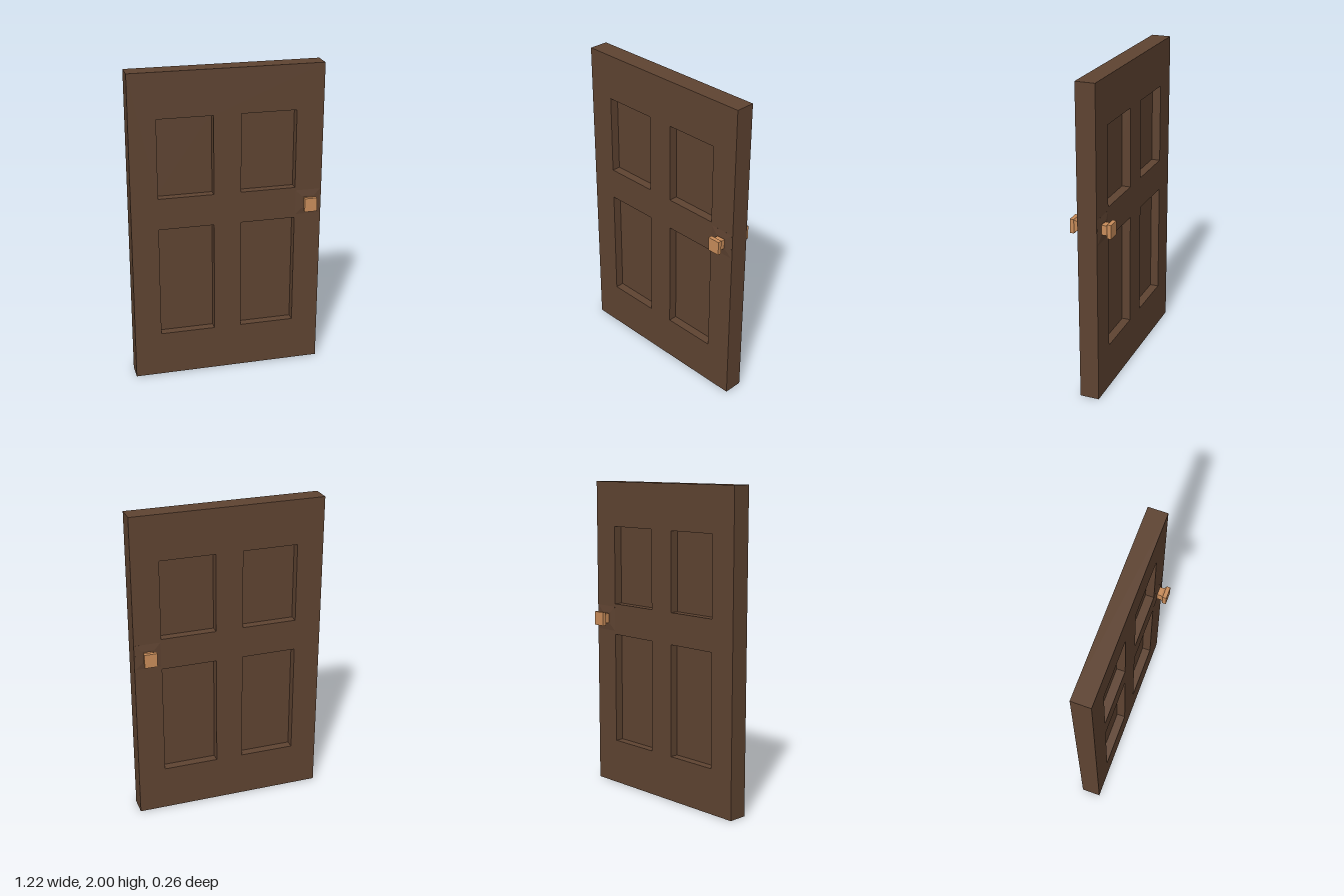
import * as THREE from 'three';

const wood = new THREE.MeshStandardMaterial({ color: 0x5e4331, flatShading: true });
const brass = new THREE.MeshStandardMaterial({ color: 0xc88c5a, flatShading: true });

const WIDTH = 1.215, HEIGHT = 2, THICK = 0.122, KNOB_X = 0.52, KNOB_Y = 1.112;

function rectPath(path, x0, y0, x1, y1) {
  path.moveTo(x0, y0);
  path.lineTo(x1, y0);
  path.lineTo(x1, y1);
  path.lineTo(x0, y1);
  path.closePath();
  return path;
}

// Square-section turning along +z; profile is [half width, z] pairs
function squareTurning(profile) {
  const points = profile.map(([r, z]) => new THREE.Vector2(r * Math.SQRT2, z));
  return new THREE.LatheGeometry(points, 4, Math.PI / 4).rotateX(Math.PI / 2);
}

function addMesh(parent, name, geometry, material) {
  const mesh = new THREE.Mesh(geometry, material);
  mesh.name = name;
  parent.add(mesh);
  return mesh;
}

export function createModel() {
  const model = new THREE.Group();
  model.name = 'door';

  // The whole door hangs very slightly turned
  const leaf = new THREE.Group();
  leaf.name = 'doorLeaf';
  leaf.rotation.y = -0.005;
  leaf.position.z = -0.0026;
  model.add(leaf);

  // Frame with four openings, each closed by a thin recessed panel
  const outline = rectPath(new THREE.Shape(), -WIDTH / 2, 0, WIDTH / 2, HEIGHT);
  for (const [x0, x1] of [[-0.438, -0.088], [0.085, 0.435]]) {
    for (const [y0, y1, row] of [[0.29, 1.01, 'lower'], [1.212, 1.715, 'upper']]) {
      outline.holes.push(rectPath(new THREE.Path(), x0, y0, x1, y1));
      const panel = addMesh(leaf, row + 'Panel', new THREE.BoxGeometry(x1 - x0, y1 - y0, 0.012), wood);
      panel.position.set((x0 + x1) / 2, (y0 + y1) / 2, 0);
    }
  }
  const frame = new THREE.ExtrudeGeometry(outline, { depth: THICK, bevelEnabled: false });
  addMesh(leaf, 'doorFrame', frame.translate(0, 0, -THICK / 2), wood);

  // A low raised plate and a square knob on each face
  const plate = squareTurning([[0.08, 0.06], [0.08, 0.0612], [0.04, 0.066], [0, 0.066]]);
  const knob = squareTurning([
    [0.028, 0.06], [0.028, 0.092], [0.033, 0.1], [0.04, 0.105], [0.04, 0.13], [0, 0.13],
  ]).scale(1, 1.1, 1);
  for (const side of ['front', 'back']) {
    const handle = new THREE.Group();
    handle.name = side + 'Handle';
    handle.position.set(KNOB_X, KNOB_Y, 0);
    if (side === 'back') handle.rotation.y = Math.PI;
    addMesh(handle, side + 'Plate', plate, wood);
    addMesh(handle, side + 'Knob', knob, brass);
    leaf.add(handle);
  }
  return model;
}
